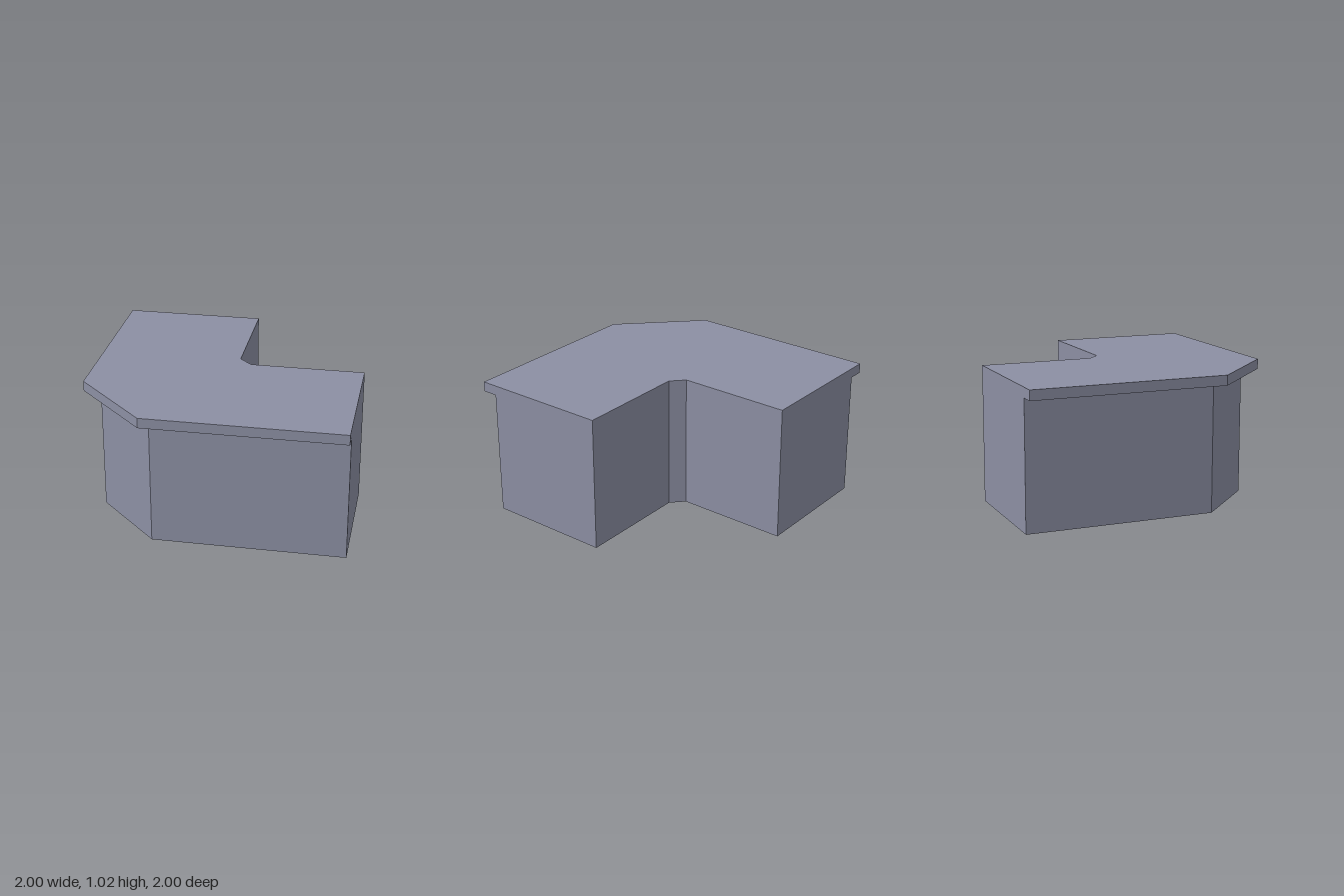
import * as THREE from 'three';

const BASE_HEIGHT = 0.95;
const TOP_HEIGHT = 1.025;

// L-shaped plan with a cut outer corner and a cut inner corner.
// edge: distance of the outer faces from the centre, cut: where the outer corner cut begins
function cornerPlan(edge, cut) {
  const points = [
    [-edge, -1], [-edge, cut], [-cut, edge], [1, edge],
    [1, -0.06], [0.15, -0.06], [0.055, -0.15], [0.055, -1],
  ];
  return new THREE.Shape(points.map(([x, z]) => new THREE.Vector2(x, -z)));
}

// Raise a plan from one height to another
function slab(name, plan, bottom, top, material) {
  const geometry = new THREE.ExtrudeGeometry(plan, { depth: top - bottom, bevelEnabled: false });
  geometry.rotateX(-Math.PI / 2);
  geometry.translate(0, bottom, 0);
  const mesh = new THREE.Mesh(geometry, material);
  mesh.name = name;
  return mesh;
}

export function createModel() {
  const model = new THREE.Group();
  model.name = 'cornerCounter';

  const greyBlue = new THREE.MeshStandardMaterial({ color: 0x8c8fa3 });
  greyBlue.name = 'greyBlue';

  // Cabinet body, set back under the worktop on the outer sides
  model.add(slab('cabinetBody', cornerPlan(0.885, 0.415), 0, BASE_HEIGHT, greyBlue));

  // Worktop with overhang
  model.add(slab('worktop', cornerPlan(1, 0.465), BASE_HEIGHT, TOP_HEIGHT, greyBlue));

  return model;
}
